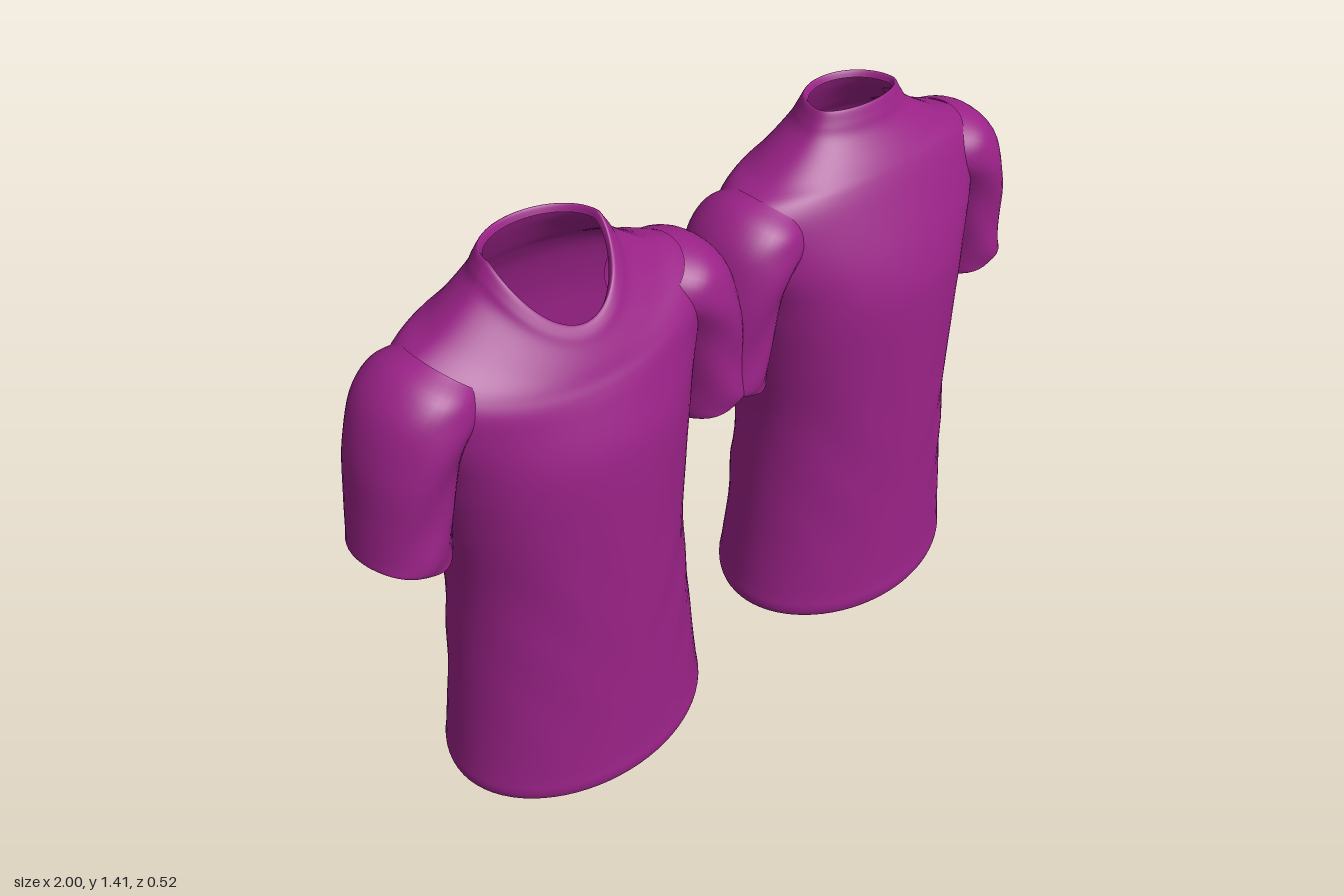
import * as THREE from 'three';

const fabric = new THREE.MeshStandardMaterial({ color: 0x9a2287, side: THREE.DoubleSide });
fabric.name = 'purple fabric';

// Smooth interpolation through rows of numbers, t from 0 to 1
function sampler(rows) {
  const curves = rows[0].map((_, k) =>
    new THREE.SplineCurve(rows.map((r, i) => new THREE.Vector2(i, r[k]))));
  return t => curves.map(c => c.getPoint(t).y);
}

// Closed-ring surface; point(t, angle) gives [x, y, z]
function loft(name, point, around, along) {
  const pos = [], idx = [];
  for (let j = 0; j <= along; j++) {
    for (let i = 0; i < around; i++) {
      pos.push(...point(j / along, (i / around) * Math.PI * 2));
      if (j === along) continue;
      const a = j * around + i, b = j * around + (i + 1) % around;
      idx.push(a, a + around, b, b, a + around, b + around);
    }
  }
  const geo = new THREE.BufferGeometry();
  geo.setAttribute('position', new THREE.Float32BufferAttribute(pos, 3));
  geo.setIndex(idx);
  geo.computeVertexNormals();
  const mesh = new THREE.Mesh(geo, fabric);
  mesh.name = name;
  return mesh;
}

// Torso rings: height, half width, front z, back z, front drop
const torso = [
  [0.06, 0.33, 0.235, -0.235, 0],
  [0.015, 0.337, 0.243, -0.245, 0],
  [0.002, 0.347, 0.25, -0.253, 0],
  [0.03, 0.354, 0.257, -0.26, 0],
  [0.09, 0.347, 0.253, -0.252, 0],
  [0.3, 0.325, 0.25, -0.238, 0],
  [0.6, 0.302, 0.252, -0.236, 0],
  [0.8, 0.318, 0.252, -0.242, 0],
  [0.92, 0.335, 0.25, -0.25, 0],
  [1.0, 0.35, 0.242, -0.251, 0],
  [1.1, 0.385, 0.215, -0.242, 0.01],
];
const levelNeck = [
  [1.2, 0.4, 0.17, -0.217, 0],
  [1.255, 0.365, 0.145, -0.192, 0],
  [1.29, 0.28, 0.125, -0.172, 0],
  [1.35, 0.178, 0.085, -0.142, 0],
  [1.385, 0.147, 0.07, -0.127, 0],
  [1.415, 0.127, 0.057, -0.112, 0],
  [1.4, 0.116, 0.05, -0.102, 0],
];
const scoopNeck = [
  [1.2, 0.4, 0.2, -0.217, 0.07],
  [1.255, 0.365, 0.188, -0.192, 0.1],
  [1.29, 0.28, 0.176, -0.172, 0.105],
  [1.35, 0.19, 0.16, -0.142, 0.13],
  [1.385, 0.165, 0.148, -0.127, 0.14],
  [1.412, 0.146, 0.132, -0.112, 0.15],
  [1.395, 0.137, 0.122, -0.103, 0.15],
];

// Sleeve rings from cuff to shoulder: inner x, y, outer x, y, half depth
const sleeveRows = [
  [0.35, 0.815, 0.515, 0.865, 0.11],
  [0.343, 0.79, 0.525, 0.842, 0.118],
  [0.333, 0.787, 0.535, 0.842, 0.126],
  [0.325, 0.82, 0.532, 0.87, 0.129],
  [0.318, 0.9, 0.52, 0.96, 0.131],
  [0.3, 1.0, 0.504, 1.08, 0.14],
  [0.27, 1.08, 0.465, 1.19, 0.148],
  [0.23, 1.12, 0.405, 1.252, 0.14],
  [0.2, 1.15, 0.34, 1.272, 0.11],
];

function makeBody(neck) {
  const at = sampler([...torso, ...neck]);
  return loft('torso', (t, a) => {
    const [y, w, front, back, drop] = at(t);
    const c = Math.cos(a), s = Math.sin(a);
    const x = c * w;
    // Hem sits a little higher at the back
    const hem = 0.016 * (1 - s) * Math.max(0, 1 - y / 0.3);
    // Soft diagonal folds, strongest across the lower back
    const band = Math.max(0, Math.sin(Math.PI * THREE.MathUtils.clamp((y - 0.08) / 0.85, 0, 1)));
    const strength = s < 0 ? 0.009 * -s : 0.005 * s * Math.abs(c);
    const fold = band * strength * Math.sin(34 * Math.abs(x) - 13 * y + 2 * Math.sin(7 * y));
    return [x, y + hem - drop * Math.max(0, s) ** 1.3, s * (s > 0 ? front : -back) + fold];
  }, 72, 90);
}

function makeSleeve(side) {
  const at = sampler(sleeveRows);
  return loft(side > 0 ? 'leftSleeve' : 'rightSleeve', (t, a) => {
    const [ix, iy, ox, oy, depth] = at(t);
    const c = Math.cos(a), k = (1 + c) / 2;
    const crease = 0.004 * Math.sin(t * 20 + c * 5) * Math.sin(Math.PI * t);
    return [
      side * (ix + (ox - ix) * k),
      iy + (oy - iy) * k,
      side * Math.sin(a) * (depth + crease) - 0.003,
    ];
  }, 40, 40);
}

function makeShirt(name, x, neck) {
  const shirt = new THREE.Group();
  shirt.name = name;
  shirt.add(makeBody(neck), makeSleeve(1), makeSleeve(-1));
  shirt.position.x = x;
  return shirt;
}

export function createModel() {
  const model = new THREE.Group();
  model.name = 'pair of shirts';
  model.add(
    makeShirt('scoopNeckShirt', -0.465, scoopNeck),
    makeShirt('highNeckShirt', 0.465, levelNeck),
  );
  return model;
}
